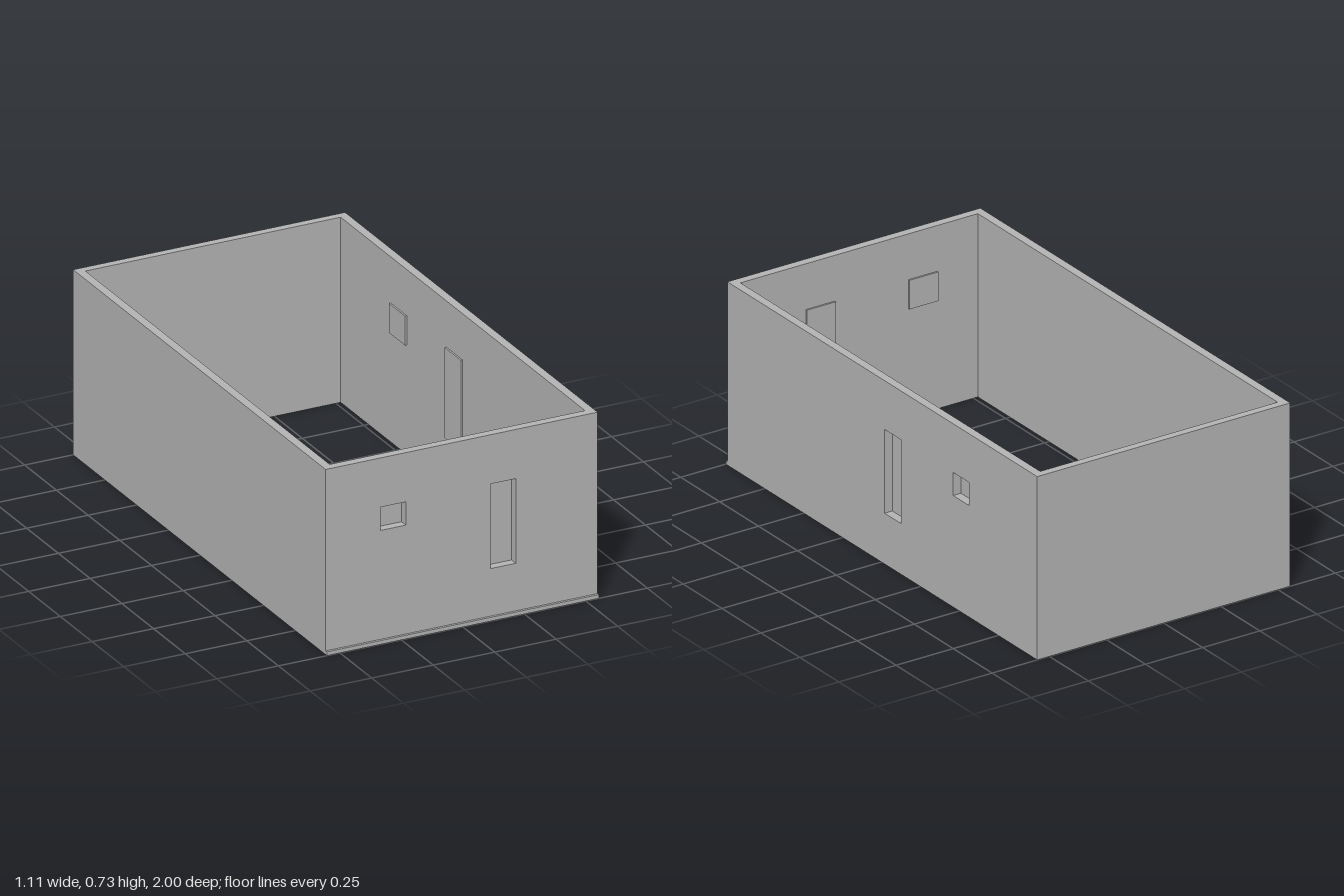
import * as THREE from 'three';

export function createModel() {
  const model = new THREE.Group();
  const grey = new THREE.MeshStandardMaterial({ color: 0xb2b2b2 });

  const H = 0.733;                        // wall height
  const X = 0.553, IX = 0.519;            // outer and inner half widths
  const ZB = -1, IZB = -0.969;            // back wall, outer and inner
  const ZF = 0.99, IZF = 0.956;           // front wall, outer and inner
  const RIM = 0.012, PROUD = 0.007;       // panel overlap and thickness

  const add = (name, geometry, parent = model) => {
    const mesh = new THREE.Mesh(geometry, grey);
    mesh.name = name;
    parent.add(mesh);
    return mesh;
  };
  const block = (name, x0, x1, y0, y1, z0, z1, parent) =>
    add(name, new THREE.BoxGeometry(x1 - x0, y1 - y0, z1 - z0), parent)
      .position.set((x0 + x1) / 2, (y0 + y1) / 2, (z0 + z1) / 2);

  // Wall in the xy plane with its outer face towards +z, each opening closed by an inner panel
  const piercedWall = (name, u0, u1, depth, openings) => {
    const group = new THREE.Group();
    group.name = name;
    const shape = new THREE.Shape([[u0, 0], [u1, 0], [u1, H], [u0, H]].map(p => new THREE.Vector2(...p)));
    for (const [a, b, c, d] of openings) {
      shape.holes.push(new THREE.Path([[a, c], [a, d], [b, d], [b, c]].map(p => new THREE.Vector2(...p))));
      block('openingPanel', a - RIM, b + RIM, c - RIM, d + RIM, -PROUD, 0, group);
    }
    add(name + 'Shell', new THREE.ExtrudeGeometry(shape, { depth, bevelEnabled: false }), group);
    model.add(group);
    return group;
  };

  // Front wall: small window and tall slot
  piercedWall('frontWall', -X, X, ZF - IZF, [
    [-0.33, -0.227, 0.446, 0.538],
    [0.118, 0.22, 0.203, 0.538],
  ]).position.z = IZF;

  // Left wall, turned to face +x (u runs along -z)
  const left = piercedWall('leftWall', -IZF, -IZB, X - IX, [
    [0.02, 0.124, 0.203, 0.538],
    [0.46, 0.563, 0.446, 0.538],
  ]);
  left.rotation.y = Math.PI / 2;
  left.position.x = IX;

  // Plain walls and the low lip at the foot of the front
  block('rightWall', -X, -IX, 0, H, IZB, IZF);
  block('backWall', -X, X, 0, H, ZB, IZB);
  block('frontLip', -X, X, 0, 0.015, ZF, 1);

  return model;
}
